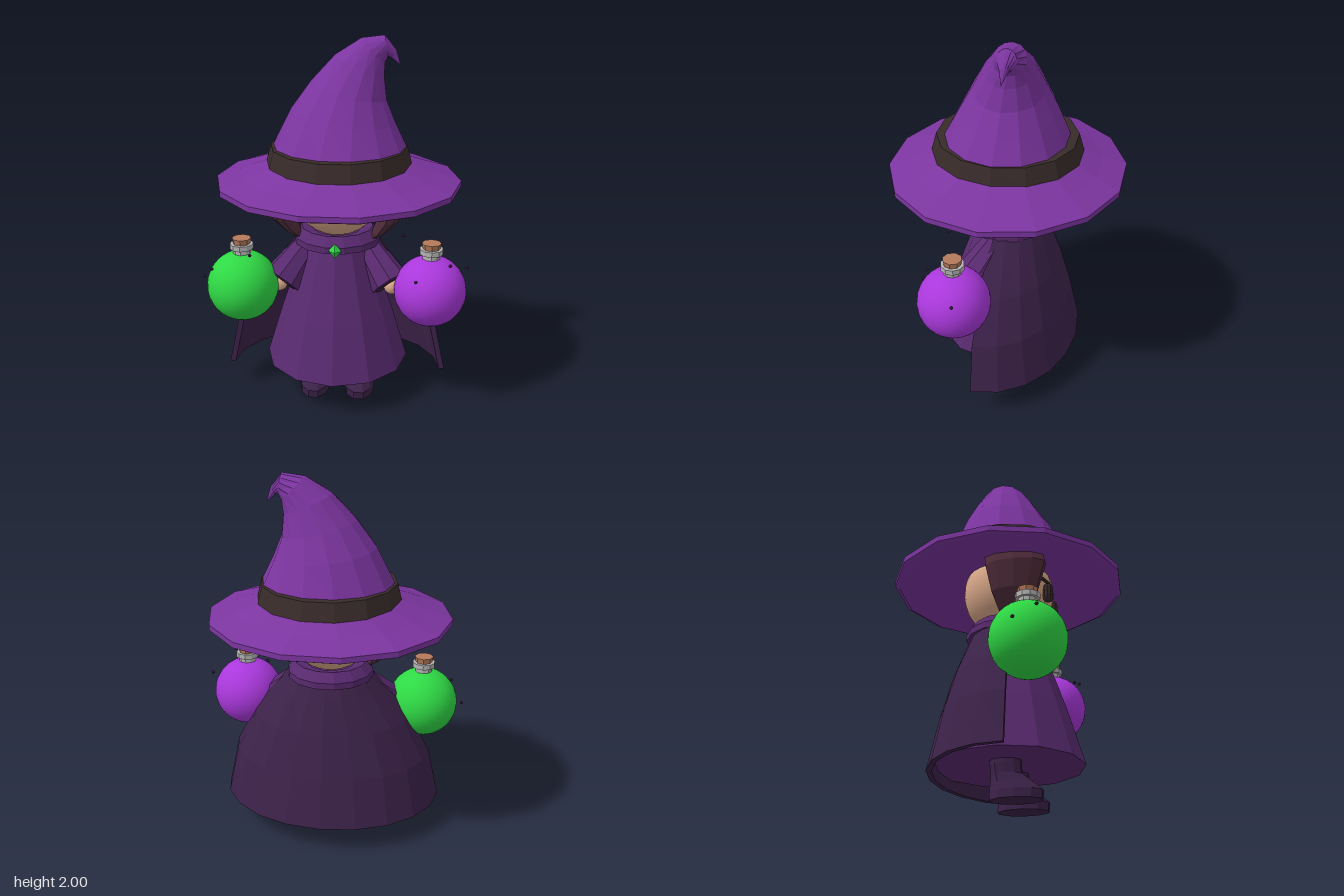
import * as THREE from 'three';

const mat = (name, color, flatShading = false, side = THREE.FrontSide) => {
  const m = new THREE.MeshStandardMaterial({ color, flatShading, side });
  m.name = name;
  return m;
};
const V = (x, y, z) => new THREE.Vector3(x, y, z);

// Surface over rows of points; repeated points make collapsed caps
function grid(rows) {
  const pos = [];
  const tri = (a, b, c) => {
    if (new THREE.Triangle(a, b, c).getArea() > 1e-8) pos.push(...a, ...b, ...c);
  };
  for (let i = 0; i + 1 < rows.length; i++) {
    const lo = rows[i], hi = rows[i + 1];
    for (let j = 0; j + 1 < lo.length; j++) {
      tri(lo[j], hi[j], hi[j + 1]);
      tri(lo[j], hi[j + 1], lo[j + 1]);
    }
  }
  const g = new THREE.BufferGeometry();
  g.setAttribute('position', new THREE.Float32BufferAttribute(pos, 3));
  g.computeVertexNormals();
  return g;
}

// Elliptic arc around c with half axes u and v
function arc(c, u, v, n, from = 0, to = Math.PI * 2) {
  return Array.from({ length: n + 1 }, (_, k) => {
    const a = from + (to - from) * k / n;
    return c.clone().addScaledVector(u, Math.cos(a)).addScaledVector(v, Math.sin(a));
  });
}
const level = (y, rx, rz, n, cx = 0, cz = 0, from, to) =>
  arc(V(cx, y, cz), V(rx, 0, 0), V(0, 0, rz), n, from, to);

// Closes a stack of rings with a flat end at bottom and top
function capped(rings) {
  const flat = (r) => {
    const c = V(0, 0, 0);
    r.slice(1).forEach((p) => c.add(p));
    c.divideScalar(r.length - 1);
    return r.map(() => c);
  };
  return grid([flat(rings[0]), ...rings, flat(rings[rings.length - 1])]);
}

export function createModel() {
  const root = new THREE.Group();
  root.name = 'witch';
  const hatMat = mat('hat purple', 0x7c35a0, true);
  const dressMat = mat('dress purple', 0x592a70, true);
  const capeMat = mat('cape dark purple', 0x3c2249, true);
  const skinMat = mat('skin', 0xdba98a);
  const hairMat = mat('hair maroon', 0x512d3c, true);
  const darkMat = mat('dark brown', 0x382b2a, true);
  const greenMat = mat('potion green', 0x2fd945);
  const violetMat = mat('potion violet', 0xaa38dc);
  const metalMat = mat('bottle neck grey', 0xb4b4b4, true);
  const corkMat = mat('cork', 0xb57a5c, true);

  const add = (name, geo, material, x = 0, y = 0, z = 0, parent = root) => {
    const m = new THREE.Mesh(geo, material);
    m.name = name;
    m.position.set(x, y, z);
    parent.add(m);
    return m;
  };

  // Hat: brim, band and bent cone
  const N = 14;
  add('hatBrim', grid([
    [1.27, 0.2, 0.2], [1.235, 0.45, 0.43], [1.205, 0.635, 0.605], [1.215, 0.655, 0.627],
    [1.245, 0.655, 0.627], [1.29, 0.52, 0.5], [1.345, 0.37, 0.37],
  ].map(([y, rx, rz]) => level(y, rx, rz, N, 0.005))), hatMat);
  add('hatBand', grid([
    [1.335, 0.36, 0.36], [1.335, 0.387, 0.4], [1.43, 0.363, 0.372], [1.43, 0.32, 0.31],
  ].map(([y, rx, rz]) => level(y, rx, rz, N, 0.008))), darkMat);

  // Each cone ring: left x, y, right x, y, half depth, centre z
  const cone = [
    [-0.36, 1.33, 0.37, 1.33, 0.36, 0], [-0.34, 1.43, 0.365, 1.43, 0.325, 0],
    [-0.245, 1.62, 0.305, 1.55, 0.255, -0.01], [-0.14, 1.765, 0.255, 1.67, 0.19, -0.02],
    [-0.015, 1.9, 0.24, 1.79, 0.13, -0.035], [0.12, 1.985, 0.243, 1.86, 0.085, -0.05],
    [0.24, 2.0, 0.258, 1.89, 0.05, -0.05], [0.3, 1.925, 0.275, 1.885, 0.022, -0.045],
    [0.325, 1.845, 0.325, 1.845, 0, -0.04],
  ].map(([lx, ly, rx, ry, w, z]) => arc(
    V((lx + rx) / 2, (ly + ry) / 2, z), V((rx - lx) / 2, (ry - ly) / 2, 0), V(0, 0, w), N));
  add('hatCone', grid(cone), hatMat);

  // Head and face
  add('head', new THREE.SphereGeometry(0.245, 32, 24), skinMat, 0, 1.18, 0);
  for (const s of [-1, 1]) {
    const eye = add('eye', new THREE.CapsuleGeometry(0.032, 0.045, 4, 10), darkMat, s * 0.108, 1.125, 0.23);
    eye.scale.z = 0.9;
    const brow = add('eyebrow', new THREE.BoxGeometry(0.07, 0.014, 0.02), darkMat, s * 0.115, 1.193, 0.216);
    brow.rotation.set(0, s * 0.45, s * 0.08);

    // Hair lock: y, inner x, outer x, half depth, centre z
    add('hairLock', capped([
      [0.94, 0.185, 0.22, 0.04, 0.06], [0.98, 0.195, 0.275, 0.085, 0.065], [1.06, 0.225, 0.345, 0.125, 0.075],
      [1.2, 0.235, 0.388, 0.165, 0.085], [1.3, 0.22, 0.37, 0.16, 0.07],
    ].map(([y, i, o, w, z]) => level(y, (o - i) / 2, w, 10, s * (i + o) / 2, z))), hairMat);
  }

  // Dress and collar
  add('dress', capped([[0.2, 0.395], [0.5, 0.305], [0.88, 0.175], [0.94, 0.16]]
    .map(([y, r]) => level(y, r, r, 12))), dressMat);
  add('collar', grid([
    [0.87, 0.16], [0.895, 0.235], [0.93, 0.235], [0.98, 0.195], [0.965, 0.13],
  ].map(([y, r]) => level(y, r, r * 0.97, 14))), dressMat);
  add('gem', new THREE.OctahedronGeometry(0.042), greenMat, 0.005, 0.92, 0.24).scale.set(0.85, 1, 0.75);

  // Cape: thick open shell around the back; each ring is y, half width, depth, centre z
  const capeRings = [
    [0.15, 0.61, 0.48, 0.07], [0.42, 0.552, 0.42, 0.07], [0.65, 0.435, 0.35, 0.06],
    [0.83, 0.295, 0.28, 0.05], [0.95, 0.2, 0.2, 0.015],
  ];
  const shell = (t) => capeRings.map(([y, rx, rz, z]) =>
    level(y, rx - t, rz - t, 10, 0, z, Math.PI, Math.PI * 2));
  const outer = shell(0), inner = shell(0.03);
  add('cape', grid([...outer, ...[...inner].reverse(), outer[0]]), capeMat);
  add('capeEdge', grid(outer.map((r, i) => [inner[i][0], r[0]])), capeMat);
  add('capeEdge', grid(outer.map((r, i) => [r[10], inner[i][10]])), capeMat);

  for (const s of [-1, 1]) {
    // Flared sleeve with dark opening
    const a = V(s * 0.15, 0.885, 0), b = V(s * 0.295, 0.695, 0.12);
    const dir = b.clone().sub(a);
    const arm = new THREE.Group();
    arm.name = s < 0 ? 'rightArm' : 'leftArm';
    arm.position.copy(a);
    arm.quaternion.setFromUnitVectors(V(0, 1, 0), dir.clone().normalize());
    root.add(arm);
    const L = dir.length();
    add('sleeve', new THREE.CylinderGeometry(0.108, 0.07, L, 8), dressMat, 0, L / 2, 0, arm);
    add('cuffOpening', new THREE.CylinderGeometry(0.09, 0.09, 0.008, 8), capeMat, 0, L + 0.002, 0, arm);
    add('hand', new THREE.SphereGeometry(0.045, 12, 8), skinMat, 0, L + 0.02, 0, arm);

    // Potion flask
    const flask = new THREE.Group();
    flask.name = s < 0 ? 'greenFlask' : 'violetFlask';
    flask.position.set(s * 0.505 + 0.005, 0.682, 0.172);
    root.add(flask);
    add('flaskBulb', new THREE.SphereGeometry(0.193, 32, 24), s < 0 ? greenMat : violetMat, 0, 0, 0, flask);
    add('flaskNeck', new THREE.CylinderGeometry(0.048, 0.048, 0.06, 10), metalMat, 0, 0.2, 0, flask);
    add('flaskRim', new THREE.CylinderGeometry(0.063, 0.063, 0.028, 10), metalMat, 0, 0.227, 0, flask);
    add('cork', new THREE.CylinderGeometry(0.052, 0.042, 0.05, 8), corkMat, 0, 0.247, 0, flask);

    // Boot: y, half width, back z, front z
    add('boot', capped([
      [0, 0.084, -0.082, 0.192], [0.045, 0.084, -0.08, 0.197], [0.085, 0.07, -0.076, 0.15],
      [0.13, 0.06, -0.072, 0.09], [0.18, 0.066, -0.078, 0.085], [0.24, 0.068, -0.08, 0.085],
    ].map(([y, w, z0, z1]) => level(y, w, (z1 - z0) / 2, 10, s * 0.127 + 0.005, (z0 + z1) / 2))), capeMat);
  }

  // Floating sparks around the flasks
  for (const [x, y, z] of [
    [0.36, 1.015, 0.23], [0.605, 0.88, 0.3], [0.705, 0.8, 0.125], [0.43, 0.8, 0.34],
    [-0.72, 0.705, 0.13], [-0.655, 0.795, 0.235], [-0.445, 0.885, 0.25],
  ]) add('spark', new THREE.OctahedronGeometry(0.01, 1), capeMat, x, y, z);

  return root;
}
